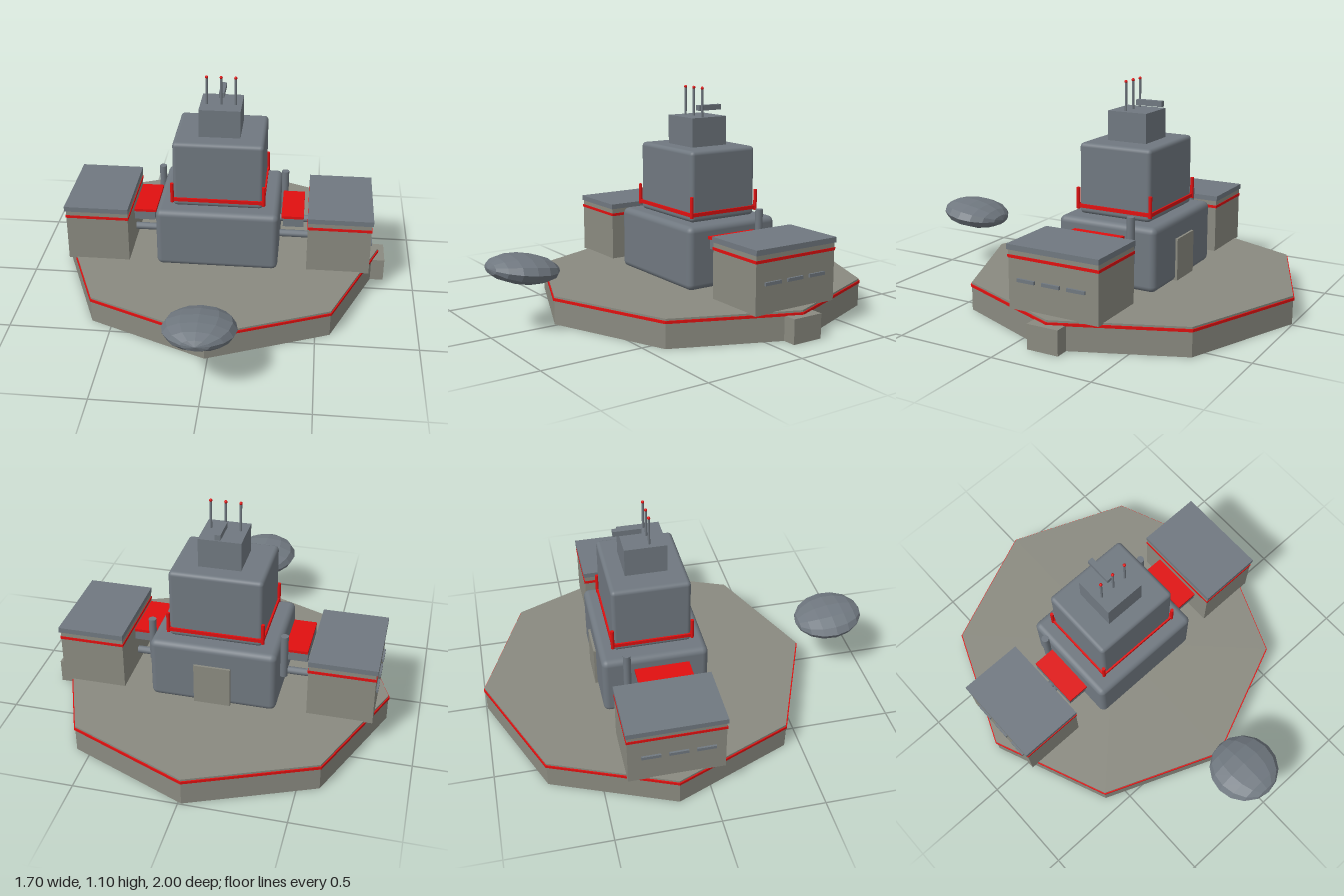
import * as THREE from 'three';
import { RoundedBoxGeometry } from 'three/addons/geometries/RoundedBoxGeometry.js';

export function createModel() {
  const root = new THREE.Group();
  // everything is symmetric about the platform's axis
  const base = new THREE.Group();
  base.name = 'station';
  base.position.set(-0.015, 0, -0.165);
  root.add(base);

  const mat = (color, flatShading = false) => new THREE.MeshStandardMaterial({ color, flatShading });
  const stone = mat(0x8a8a80, true);
  const steel = mat(0x707880);
  const steelFlat = mat(0x707880, true);
  const red = mat(0xe01010);

  const add = (name, geo, material, x, y, z) => {
    const mesh = new THREE.Mesh(geo, material);
    mesh.name = name;
    mesh.position.set(x, y, z);
    base.add(mesh);
    return mesh;
  };
  // box given by its size, its bottom height and its centre in plan
  const box = (name, material, w, h, d, x, y0, z) =>
    add(name, new THREE.BoxGeometry(w, h, d), material, x, y0 + h / 2, z);
  const rounded = (name, w, h, d, y0, r) =>
    add(name, new RoundedBoxGeometry(w, h, d, 3, r), steel, 0, y0 + h / 2, 0);
  const post = (name, material, r, h, x, y0, z) =>
    add(name, new THREE.CylinderGeometry(r, r, h, 12), material, x, y0 + h / 2, z);

  // octagonal platform with a red trim and a side block
  add('platform', new THREE.CylinderGeometry(0.83, 0.83, 0.14, 8), stone, 0, 0.07, 0);
  add('platformTrim', new THREE.CylinderGeometry(0.836, 0.836, 0.013, 8), mat(0xe01010, true), 0, 0.124, 0);
  box('sideBlock', stone, 0.16, 0.12, 0.16, 0.785, 0, 0);

  // stacked central blocks
  rounded('lowerBlock', 0.62, 0.315, 0.525, 0.14, 0.03);
  rounded('upperBlock', 0.455, 0.35, 0.385, 0.455, 0.02);
  box('topBlock', steel, 0.208, 0.145, 0.208, 0, 0.805, 0);
  box('backDoor', stone, 0.18, 0.21, 0.02, 0, 0.145, -0.264);

  // red rail and corner posts around the upper block
  for (const s of [-1, 1]) {
    box('railLong', red, 0.47, 0.018, 0.012, 0, 0.486, s * 0.195);
    box('railShort', red, 0.012, 0.018, 0.39, s * 0.23, 0.486, 0);
    for (const t of [-1, 1]) post('railPost', red, 0.009, 0.105, s * 0.231, 0.48, t * 0.196);
  }

  // antennas and the horizontal beam on the roof
  for (const x of [-0.072, 0, 0.072]) {
    post('antenna', steel, 0.006, 0.145, x, 0.95, 0.022);
    add('antennaTip', new THREE.SphereGeometry(0.008, 10, 8), red, x, 1.092, 0.022);
  }
  box('roofBeam', steel, 0.027, 0.027, 0.137, 0, 0.973, -0.071);

  // mirrored side buildings, connecting pipes and red landings
  for (const s of [-1, 1]) {
    box('sideBuilding', stone, 0.318, 0.28, 0.465, s * 0.617, 0.135, 0);
    box('sideBuildingTrim', red, 0.324, 0.014, 0.471, s * 0.617, 0.376, 0);
    box('sideBuildingRoof', steel, 0.328, 0.026, 0.475, s * 0.62, 0.414, 0);
    for (const z of [-0.13, 0, 0.13])
      box('window', steel, 0.016, 0.016, 0.092, s * 0.778, 0.27, z + 0.008);
    for (const y of [0.305, 0.21]) {
      const pipe = add('connectingPipe', new THREE.CylinderGeometry(0.019, 0.019, 0.2, 12), steel, s * 0.38, y, 0);
      pipe.rotation.z = Math.PI / 2;
    }
    box('landing', steel, 0.105, 0.048, 0.26, s * 0.382, 0.345, 0.027);
    box('landingTop', red, 0.113, 0.014, 0.27, s * 0.378, 0.392, 0.027);
    post('verticalPipe', steel, 0.019, 0.225, s * 0.327, 0.28, -0.145);
  }

  // hovering faceted pod in front, nose tilted up
  const podShape = new THREE.SphereGeometry(0.175, 12, 8).rotateX(Math.PI / 2).scale(0.98, 0.39, 1);
  const pod = add('pod', podShape, steelFlat, 0, 0.3, 0.99);
  pod.rotation.x = -0.14;

  return root;
}
